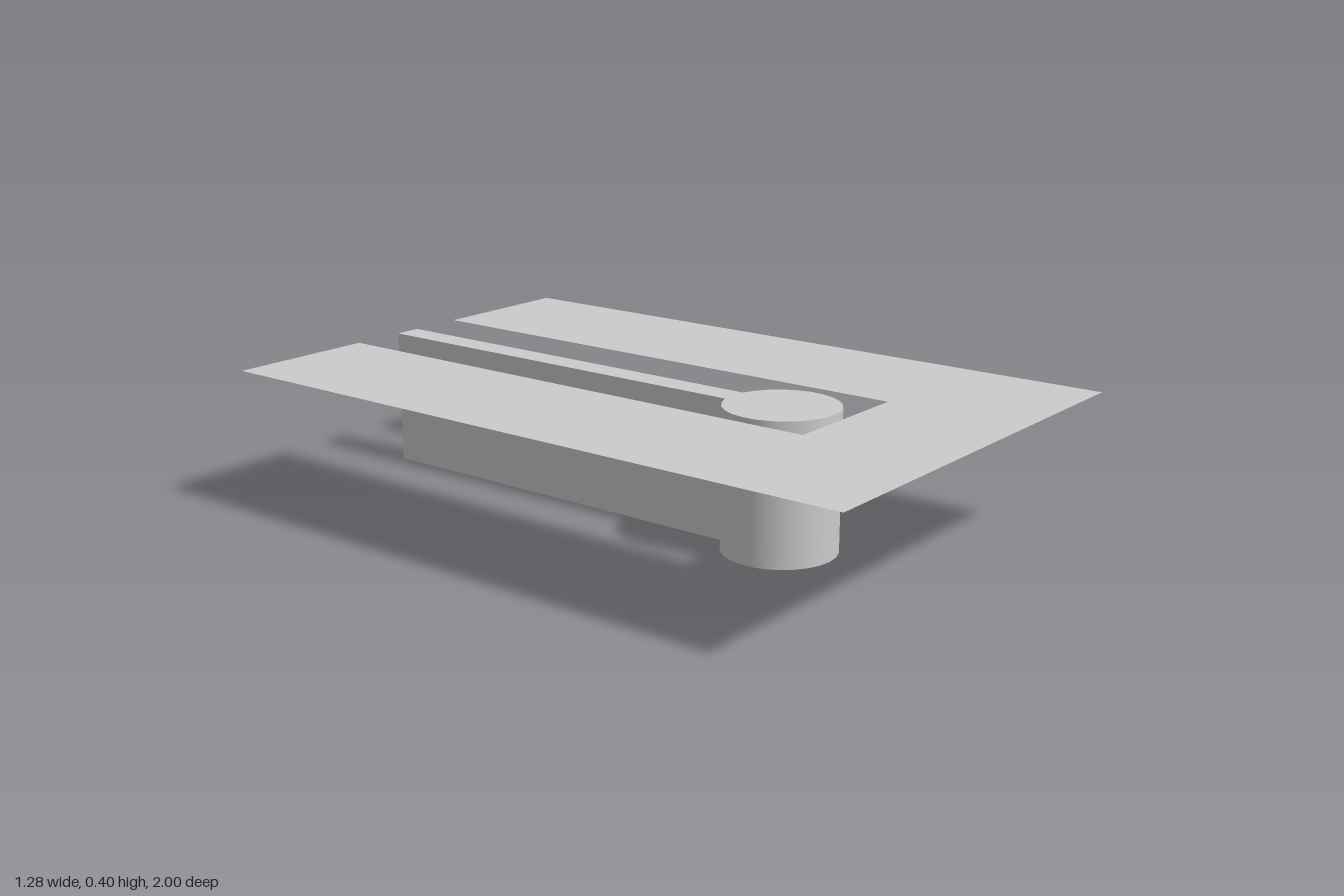
import * as THREE from 'three';

const HEIGHT = 0.4, RADIUS = 0.16, STEM = 0.04, POST_Z = 0.4, SEGMENTS = 24;

export function createModel() {
  const group = new THREE.Group();
  const material = new THREE.MeshStandardMaterial({ color: 0xcccccc, side: THREE.DoubleSide });

  const add = (name, geometry, x = 0, y = 0, z = 0) => {
    const mesh = new THREE.Mesh(geometry, material);
    mesh.name = name;
    mesh.position.set(x, y, z);
    group.add(mesh);
    return mesh;
  };
  // Flat sheet lying in the ground plan (shape y becomes -z)
  const sheet = (shape) => new THREE.ShapeGeometry(shape, SEGMENTS / 2).rotateX(-Math.PI / 2);

  // Thin U-shaped plate level with the top, slot open to the back
  const plate = new THREE.Shape([
    [-0.64, -1], [0.64, -1], [0.64, 1], [0.2, 1],
    [0.2, -0.6], [-0.2, -0.6], [-0.2, 1], [-0.64, 1],
  ].map(([x, y]) => new THREE.Vector2(x, y)));
  add('plate', sheet(plate), 0, HEIGHT, 0);

  // Keyhole-shaped cap: round end joined to a narrow stem
  const gap = Math.asin(STEM / RADIUS);
  const joinZ = POST_Z - RADIUS * Math.cos(gap);
  const cap = new THREE.Shape();
  cap.moveTo(-STEM, 1);
  cap.lineTo(-STEM, -joinZ);
  cap.absarc(0, -POST_Z, RADIUS, Math.PI / 2 + gap, Math.PI * 2.5 - gap, false);
  cap.lineTo(STEM, 1);
  cap.closePath();
  add('keyholeCap', sheet(cap), 0, HEIGHT, 0);

  // Round wall, open below and where the stem joins
  add('roundWall', new THREE.CylinderGeometry(RADIUS, RADIUS, HEIGHT, SEGMENTS, 1, true,
    -Math.PI + gap, 2 * (Math.PI - gap)), 0, HEIGHT / 2, POST_Z);

  // Two stem walls, open at the bottom and back
  for (const side of [-1, 1]) {
    const wall = new THREE.PlaneGeometry(1 + joinZ, HEIGHT).rotateY(side * Math.PI / 2);
    add(side > 0 ? 'leftStemWall' : 'rightStemWall', wall, side * STEM, HEIGHT / 2, (joinZ - 1) / 2);
  }
  return group;
}
